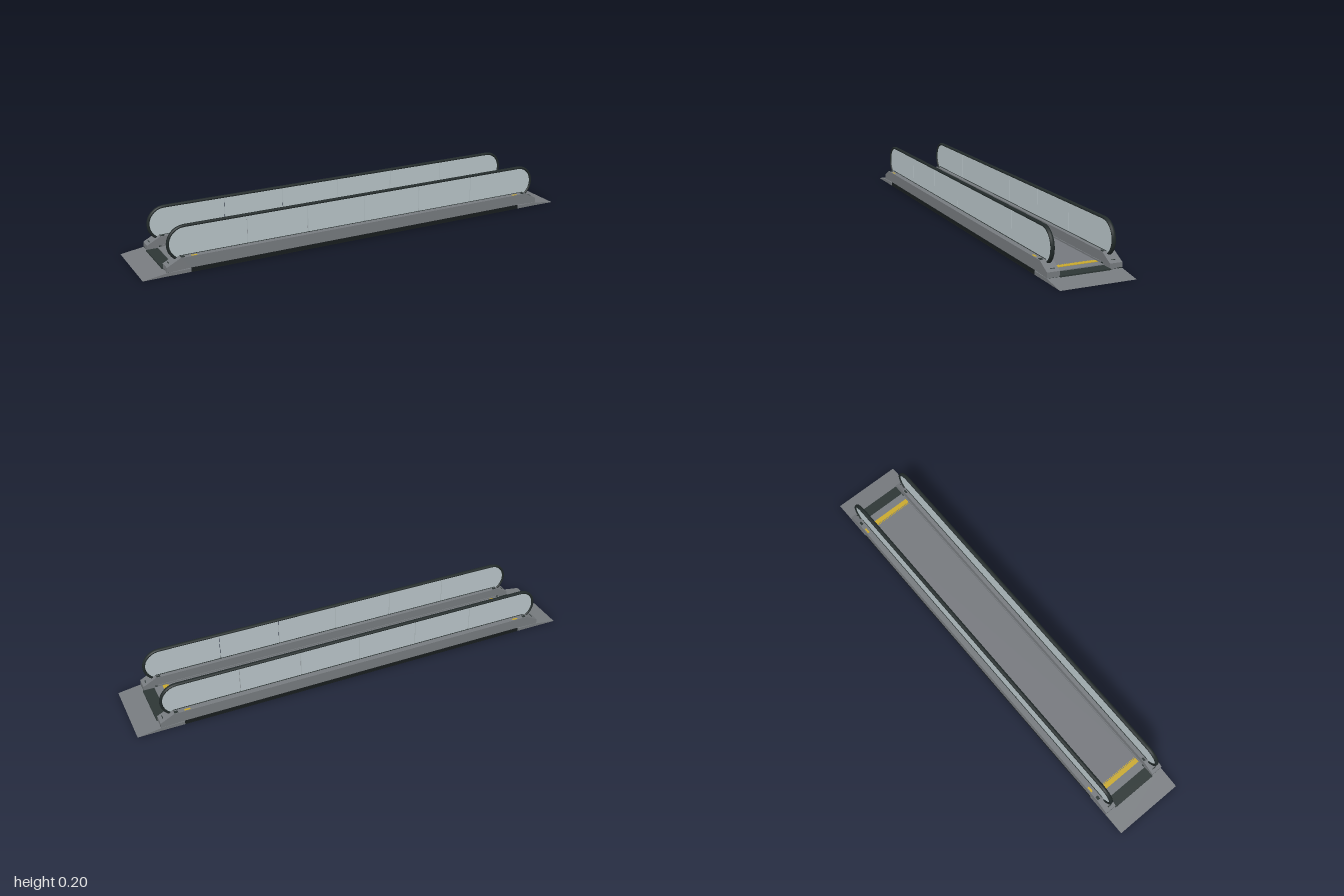
import * as THREE from 'three';

const mat = (name, color, side = THREE.FrontSide) => {
  const m = new THREE.MeshStandardMaterial({ color, side });
  m.name = name;
  return m;
};

export function createModel() {
  const steel = mat('steel', 0x777b7f);
  const belt = mat('belt grey', 0x76797e);
  const glass = mat('pale glass', 0xb9c5c9);
  const rubber = mat('black rubber', 0x222a2a);
  const black = mat('underside black', 0x181d1e);
  const dark = mat('dark plate', 0x2d3635);
  const yellow = mat('safety yellow', 0xc9a92e);

  const model = new THREE.Group();
  model.name = 'movingWalkway';

  const add = (name, geo, m, x = 0, y = 0, z = 0) => {
    const mesh = new THREE.Mesh(geo, m);
    mesh.name = name;
    mesh.position.set(x, y, z);
    model.add(mesh);
    return mesh;
  };
  // Box given by its limits on each axis
  const box = (name, m, x0, x1, y0, y1, z0, z1) =>
    add(name, new THREE.BoxGeometry(x1 - x0, y1 - y0, z1 - z0), m,
      (x0 + x1) / 2, (y0 + y1) / 2, (z0 + z1) / 2);
  // Side profile extruded across z
  const slab = (name, m, points, z0, z1) => {
    const shape = new THREE.Shape(points.map(p => new THREE.Vector2(...p)));
    const geo = new THREE.ExtrudeGeometry(shape, { depth: z1 - z0, bevelEnabled: false });
    return add(name, geo, m, 0, 0, z0);
  };

  // Base pan and moving belt
  box('basePan', black, -0.8, 0.8, 0, 0.02, -0.156, 0.156);
  box('underside', black, -0.9, 0.9, 0, 0.002, -0.157, 0.157);
  box('belt', belt, -0.81, 0.81, 0.018, 0.022, -0.106, 0.106);

  // Landings at both ends
  for (const s of [-1, 1]) {
    const ends = (a, b) => [Math.min(s * a, s * b), Math.max(s * a, s * b)];
    slab('entryRamp', steel,
      [[1, 0], [0.9, 0.015], [0.8, 0.016], [0.8, 0.001], [0.9, 0.001]].map(([x, y]) => [s * x, y]),
      -0.158, 0.158);
    box('landingPlate', dark, ...ends(0.855, 0.905), 0.012, 0.02, -0.106, 0.106);
    box('plateLip', dark, ...ends(0.885, 0.9), 0.012, 0.019, -0.156, 0.156);
    box('combPlate', steel, ...ends(0.82, 0.855), 0.012, 0.023, -0.106, 0.106);
    box('combStrip', yellow, ...ends(0.8, 0.82), 0.014, 0.025, -0.1, 0.1);
    // Comb teeth reaching over the belt
    for (let i = 0; i < 24; i++) {
      const z = -0.095 + i * 0.19 / 23;
      box('combTooth', yellow, ...ends(0.793, 0.801), 0.02, 0.024, z - 0.002, z + 0.002);
    }
  }

  // Balustrades on both sides
  const railZ = 0.128, radius = 0.072, cx = 0.811, cy = 0.119;
  const joints = [-0.545, -0.272, 0, 0.272, 0.545];
  const gap = 0.0015;

  // Closed panel outline: straight at the joints, round at the outer ends
  const panelGeometry = (x0, x1) => {
    const s = new THREE.Shape();
    const low = cy - radius, high = cy + radius;
    const first = x0 === null, last = x1 === null;
    s.moveTo(first ? -cx : x0, low);
    s.lineTo(last ? cx : x1, low);
    if (last) s.absarc(cx, cy, radius, -Math.PI / 2, Math.PI / 2, false);
    else s.lineTo(x1, high);
    s.lineTo(first ? -cx : x0, high);
    if (first) s.absarc(-cx, cy, radius, Math.PI / 2, Math.PI * 1.5, false);
    return new THREE.ExtrudeGeometry(s, { depth: 0.006, bevelEnabled: false, curveSegments: 20 });
  };

  // Handrail path: one straight run with a half turn at each end
  const path = new THREE.CurvePath();
  const arc = (x, from) => {
    const pts = [];
    for (let i = 0; i <= 12; i++) {
      const a = from - i * Math.PI / 12;
      pts.push(new THREE.Vector3(x + radius * Math.cos(a), cy + radius * Math.sin(a), 0));
    }
    return pts;
  };
  const left = arc(-cx, Math.PI * 1.5), right = arc(cx, Math.PI / 2);
  path.add(new THREE.CatmullRomCurve3(left));
  path.add(new THREE.LineCurve3(left[12], right[0]));
  path.add(new THREE.CatmullRomCurve3(right));

  for (const side of [-1, 1]) {
    const zs = (a, b) => [Math.min(side * a, side * b), Math.max(side * a, side * b)];

    // Skirt housing with sloping noses
    slab('skirt', steel, [
      [-0.8, 0.02], [0.8, 0.02], [0.9, 0.016], [0.9, 0.038], [0.842, 0.068],
      [-0.842, 0.068], [-0.9, 0.038], [-0.9, 0.016],
    ], ...zs(0.105, 0.158));
    box('innerGuide', steel, -0.84, 0.84, 0.024, 0.03, ...zs(0.102, 0.106));
    box('glassChannel', dark, -0.84, 0.84, 0.066, 0.0695, ...zs(railZ - 0.006, railZ + 0.006));

    // Glass panels separated by narrow joints
    const edges = [null, ...joints, null];
    for (let i = 0; i < edges.length - 1; i++) {
      const x0 = edges[i] === null ? null : edges[i] + gap;
      const x1 = edges[i + 1] === null ? null : edges[i + 1] - gap;
      add('glassPanel', panelGeometry(x0, x1), glass, 0, 0, side * railZ - 0.003);
    }

    const rail = add('handrail', new THREE.TubeGeometry(path, 260, 0.006, 10), rubber, 0, 0, side * railZ);
    rail.scale.z = 1.5;

    // Nose details: rail inlet, warning marks and sensor plates
    for (const s of [-1, 1]) {
      const xs = (a, b) => [Math.min(s * a, s * b), Math.max(s * a, s * b)];
      box('railInlet', dark, ...xs(0.895, 0.902), 0.0455, 0.047, ...zs(railZ - 0.009, railZ + 0.009))
        .position.x = s * 0.883;
      box('warningMark', yellow, ...xs(0.77, 0.795), 0.066, 0.0688, ...zs(0.145, 0.154));
      box('sensorPlate', dark, ...xs(0.822, 0.838), 0.066, 0.07, ...zs(0.142, 0.154));
      box('sensorPlate', dark, ...xs(0.822, 0.838), 0.066, 0.07, ...zs(0.108, 0.116));
      box('skirtSensor', dark, ...xs(0.84, 0.85), 0.025, 0.029, ...zs(0.101, 0.106));
    }
  }

  return model;
}
